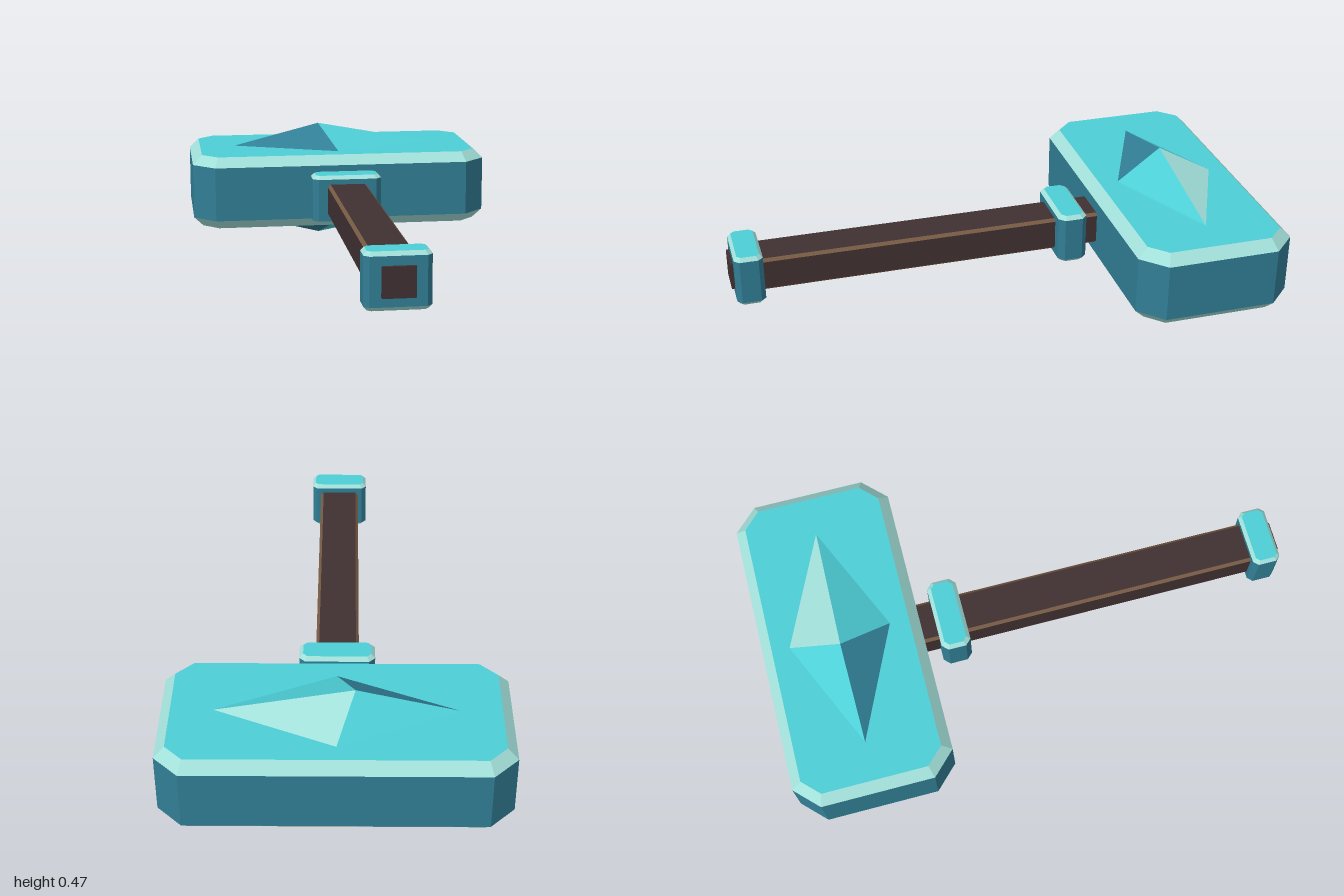
import * as THREE from 'three';

const MID = 0.2375; // height of the hammer's centre plane

const mat = (name, color) => {
  const m = new THREE.MeshStandardMaterial({ color });
  m.name = name;
  return m;
};

// Flat-shaded geometry from lists of triangles, one list per material
function facets(lists) {
  const geo = new THREE.BufferGeometry();
  const pos = [];
  lists.forEach((tris, m) => {
    geo.addGroup(pos.length / 3, tris.length * 3, m);
    tris.forEach(t => t.forEach(p => pos.push(...p)));
  });
  geo.setAttribute('position', new THREE.Float32BufferAttribute(pos, 3));
  geo.computeVertexNormals();
  return geo;
}

// Rectangle with cut corners at height y, half sizes a and b, corner cut c
function ring([y, a, b, c]) {
  const p = a - c, q = b - c;
  return [[a, q], [a, -q], [p, -b], [-p, -b], [-a, -q], [-a, q], [-p, b], [p, b]]
    .map(([x, z]) => [x, y, z]);
}

// Joins rings bottom to top; pick(band, side) gives the material index, caps use 0
function loft(specs, count, pick) {
  const rings = specs.map(ring);
  const lists = Array.from({ length: count }, () => []);
  for (let k = 0; k < rings.length - 1; k++) {
    const lo = rings[k], up = rings[k + 1];
    for (let i = 0; i < 8; i++) {
      const j = (i + 1) % 8;
      lists[pick(k, i)].push([lo[i], lo[j], up[j]], [lo[i], up[j], up[i]]);
    }
  }
  const bottom = rings[0], top = rings[rings.length - 1];
  for (let i = 1; i < 7; i++) {
    lists[0].push([top[0], top[i], top[i + 1]], [bottom[0], bottom[i + 1], bottom[i]]);
  }
  return facets(lists);
}

export function createModel() {
  const group = new THREE.Group();
  const face = mat('bright teal', 0x4dced6);
  const side = mat('deep teal', 0x317e95);
  const trim = mat('pale teal', 0xa2dfd9);
  const wood = mat('dark wood', 0x403032);
  const edge = mat('worn wood edge', 0x765a43);

  const add = (name, geo, mats, y, z) => {
    const mesh = new THREE.Mesh(geo, mats);
    mesh.name = name;
    mesh.position.set(0, y, z);
    group.add(mesh);
  };

  // Block with cut corners and pale bevels round its top and bottom
  const block = (name, a, h, b, cut, bevel, inset, z) => {
    const cap = [a - inset, b - inset, cut * 0.72];
    const geo = loft([
      [-h, ...cap], [-h + bevel, a, b, cut], [h - bevel, a, b, cut], [h, ...cap],
    ], 3, k => (k === 1 ? 1 : 2));
    add(name, geo, [face, side, trim], MID, z);
  };

  block('head', 0.605, 0.148, 0.2975, 0.087, 0.038, 0.038, -0.7025);
  block('upperCollar', 0.138, 0.099, 0.056, 0.022, 0.014, 0.014, -0.293);
  block('endCollar', 0.113, 0.099, 0.053, 0.018, 0.014, 0.012, 0.935);

  // Faceted gems on the top and underside, with off-centre peaks
  for (const s of [1, -1]) {
    const v = (x, y, z) => [x, s * y, z];
    const base = 0.146;
    const right = v(0.43, base, 0.003), left = v(-0.43, base, 0.003);
    const back = v(0, base, -0.192), front = v(0, base, 0.197);
    const peak = v(-0.065, MID, 0);
    const tri = (p, q) => (s > 0 ? [p, q, peak] : [q, p, peak]);
    const geo = facets([
      [tri(front, right), tri(back, left)],
      [tri(left, front)],
      [tri(right, back)],
    ]);
    add(s > 0 ? 'topGem' : 'bottomGem', geo, [face, side, trim], MID, -0.708);
  }

  // Handle with worn edges, narrowing to a small butt through the end collar
  const handle = loft([
    [-0.5, 0.079, 0.065, 0.011], [0.95, 0.079, 0.065, 0.011],
    [0.975, 0.057, 0.053, 0.002], [1, 0.057, 0.053, 0.002],
  ], 2, (k, i) => (k === 0 && i % 2 ? 1 : 0));
  handle.rotateX(Math.PI / 2);
  add('handle', handle, [wood, edge], MID, 0);

  return group;
}
